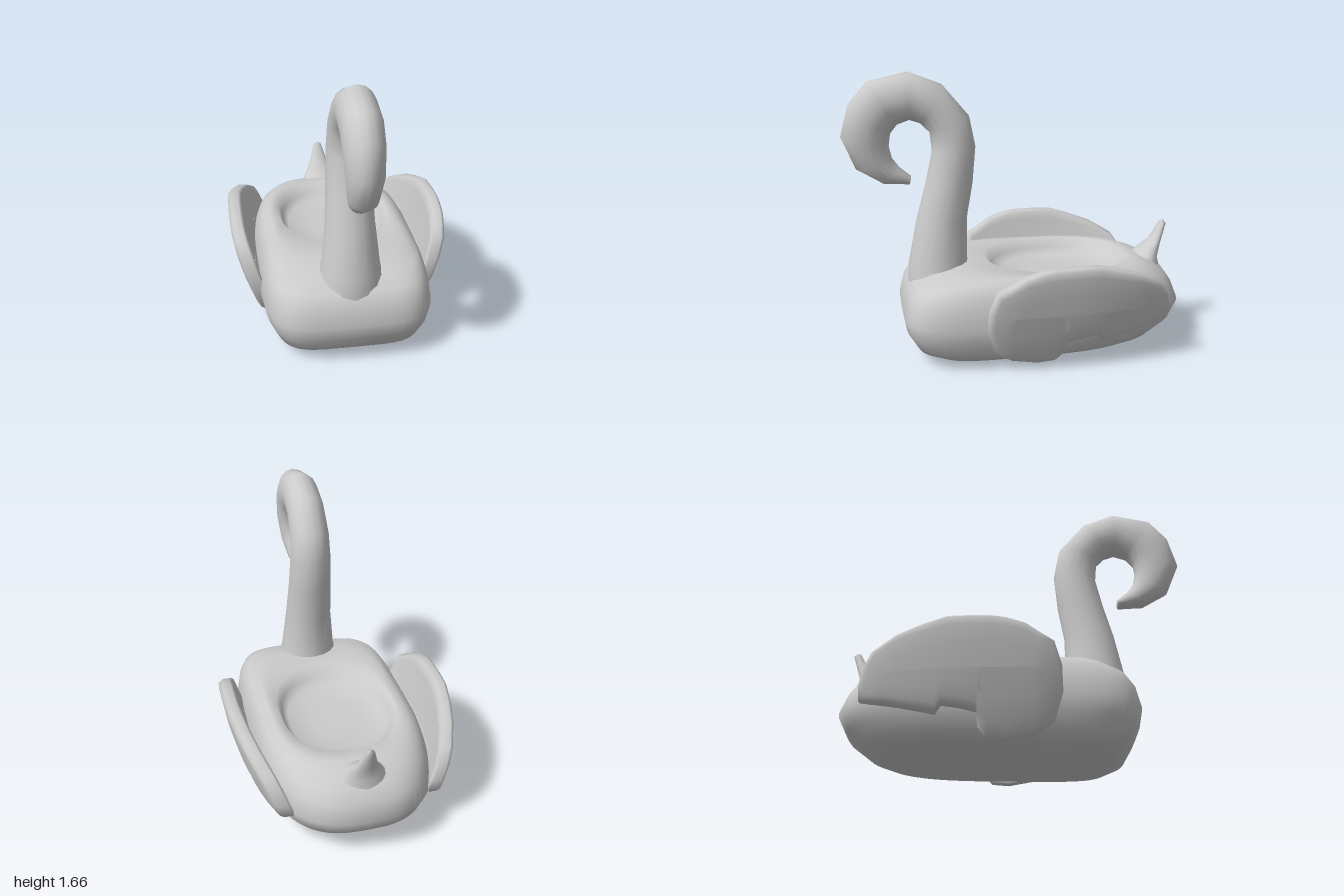
import * as THREE from 'three';

const material = new THREE.MeshStandardMaterial({ color: 0xcccccc });

// Skin a list of closed rings (same point count) into one smooth surface.
function loft(name, rings) {
  const n = rings[0].length;
  const index = [];
  for (let i = 0; i < rings.length - 1; i++) {
    for (let j = 0; j < n; j++) {
      const k = (j + 1) % n;
      const a = i * n + j, b = i * n + k, c = a + n, d = b + n;
      index.push(a, b, d, a, d, c);
    }
  }
  const geometry = new THREE.BufferGeometry();
  geometry.setAttribute('position', new THREE.Float32BufferAttribute(rings.flat(2), 3));
  geometry.setIndex(index);
  geometry.computeVertexNormals();
  const mesh = new THREE.Mesh(geometry, material);
  mesh.name = name;
  return mesh;
}

// Rounded-rectangle ring: squarer at the front, rounder at the back.
function bodyRing([yFront, yBack, halfWidth, zFront, zBack, pFront = 4.8, pBack = 2.8]) {
  const power = (v, p) => Math.sign(v) * Math.abs(v) ** (2 / p);
  const ring = [];
  for (let j = 0; j < 56; j++) {
    const t = (j / 56) * Math.PI * 2;
    const p = Math.cos(t) >= 0 ? pFront : pBack;
    const c = power(Math.cos(t), p), s = power(Math.sin(t), p);
    ring.push([
      halfWidth * s,
      THREE.MathUtils.lerp(yBack, yFront, (c + 1) / 2),
      THREE.MathUtils.lerp(zBack, zFront, (c + 1) / 2),
    ]);
  }
  return ring;
}

// Oval ring spanning a front and a back point in the middle plane.
function ovalRing([zFront, yFront, zBack, yBack, halfWidth]) {
  const ring = [];
  for (let j = 0; j < 16; j++) {
    const t = (j / 16) * Math.PI * 2, u = (1 + Math.cos(t)) / 2;
    ring.push([
      halfWidth * Math.sin(t),
      THREE.MathUtils.lerp(yBack, yFront, u),
      THREE.MathUtils.lerp(zBack, zFront, u),
    ]);
  }
  return ring;
}

// Wing side outline as (z, y).
const wingOutline = [
  [0.24, 0.4], [0.2, 0.52], [0.13, 0.56], [0.05, 0.61], [-0.05, 0.64], [-0.12, 0.65],
  [-0.24, 0.652], [-0.36, 0.65], [-0.5, 0.61], [-0.63, 0.565], [-0.76, 0.49], [-0.81, 0.41],
  [-0.83, 0.33], [-0.83, 0.255], [-0.7, 0.224], [-0.56, 0.192], [-0.42, 0.16], [-0.39, 0.205],
  [-0.3, 0.192], [-0.21, 0.17], [-0.18, 0.14], [-0.2, 0.1], [-0.15, 0.04], [-0.05, 0.03],
  [0.1, 0.06], [0.2, 0.12], [0.245, 0.27],
];

// Wing ring: outline drawn in towards a spine, leaning out and curving in at both ends.
function wingRing([size, offset]) {
  return wingOutline.map(([z0, y0]) => {
    const z = THREE.MathUtils.lerp(THREE.MathUtils.clamp(z0, -0.65, 0.1), z0, size);
    const y = THREE.MathUtils.lerp(0.37, y0, size);
    const bend = 0.27 * Math.max(0, -z - 0.2) ** 2 + 0.4 * Math.max(0, z) ** 2;
    return [0.415 + 0.5 * y - 0.29 * y * y - bend + offset, y, z];
  });
}

export function createModel() {
  const model = new THREE.Group();
  model.name = 'birdFloat';

  // Inflated body, from the underside up over the rim and down into the seat
  model.add(loft('body', [
    [0.015, 0.015, 0, -0.15, -0.15],
    [0.003, 0.03, 0.28, 0.32, -0.6],
    [0.035, 0.05, 0.39, 0.52, -0.75],
    [0.085, 0.085, 0.445, 0.62, -0.84],
    [0.18, 0.17, 0.485, 0.675, -0.95],
    [0.27, 0.27, 0.505, 0.692, -1.0],
    [0.38, 0.37, 0.49, 0.665, -0.96],
    [0.45, 0.44, 0.47, 0.62, -0.91],
    [0.505, 0.49, 0.44, 0.52, -0.83],
    [0.535, 0.515, 0.395, 0.38, -0.76, 3.4],
    [0.54, 0.525, 0.34, 0.18, -0.68, 2.3, 2.4],
    [0.48, 0.465, 0.315, 0.135, -0.635, 2.2, 2.3],
    [0.44, 0.43, 0.28, 0.08, -0.58, 2.2, 2.3],
    [0.43, 0.425, 0.15, -0.1, -0.4, 2, 2],
    [0.43, 0.43, 0, -0.25, -0.25],
  ].map(bodyRing)));

  // Neck rising into the hooked head and beak
  model.add(loft('neckAndHead', [
    [0.645, 0.41, 0.26, 0.44, 0.2],
    [0.64, 0.53, 0.29, 0.55, 0.17],
    [0.585, 0.8, 0.285, 0.8, 0.142],
    [0.53, 1.0, 0.25, 1.0, 0.132],
    [0.485, 1.2, 0.23, 1.22, 0.124],
    [0.495, 1.31, 0.265, 1.4, 0.118],
    [0.55, 1.365, 0.42, 1.585, 0.113],
    [0.61, 1.385, 0.61, 1.66, 0.11],
    [0.68, 1.36, 0.84, 1.61, 0.11],
    [0.72, 1.31, 0.95, 1.48, 0.108],
    [0.73, 1.24, 1.0, 1.3, 0.098],
    [0.715, 1.17, 0.92, 1.11, 0.082],
    [0.675, 1.115, 0.77, 1.02, 0.062],
    [0.61, 1.06, 0.62, 1.01, 0.04],
    [0.614, 1.035, 0.614, 1.035, 0],
  ].map(ovalRing)));

  // Upturned pointed tail, broad at the base
  model.add(loft('tail', [
    [-0.68, 0.48, -0.93, 0.38, 0.17],
    [-0.765, 0.515, -0.905, 0.48, 0.11],
    [-0.86, 0.59, -0.925, 0.57, 0.06],
    [-0.918, 0.7, -0.962, 0.69, 0.026],
    [-0.94, 0.715, -0.94, 0.715, 0],
  ].map(ovalRing)));

  // Cushion wings, outer face first, then round the edge to the inner face
  const wing = [
    [0, 0.048], [0.45, 0.048], [0.8, 0.046], [0.95, 0.04], [1, 0.022],
    [1, -0.025], [0.95, -0.04], [0.8, -0.044], [0.45, -0.045], [0, -0.045],
  ].map(wingRing);
  model.add(loft('leftWing', wing));
  const mirrored = wing.map((ring) => ring.map(([x, y, z]) => [-x, y, z])).reverse();
  model.add(loft('rightWing', mirrored));

  return model;
}
